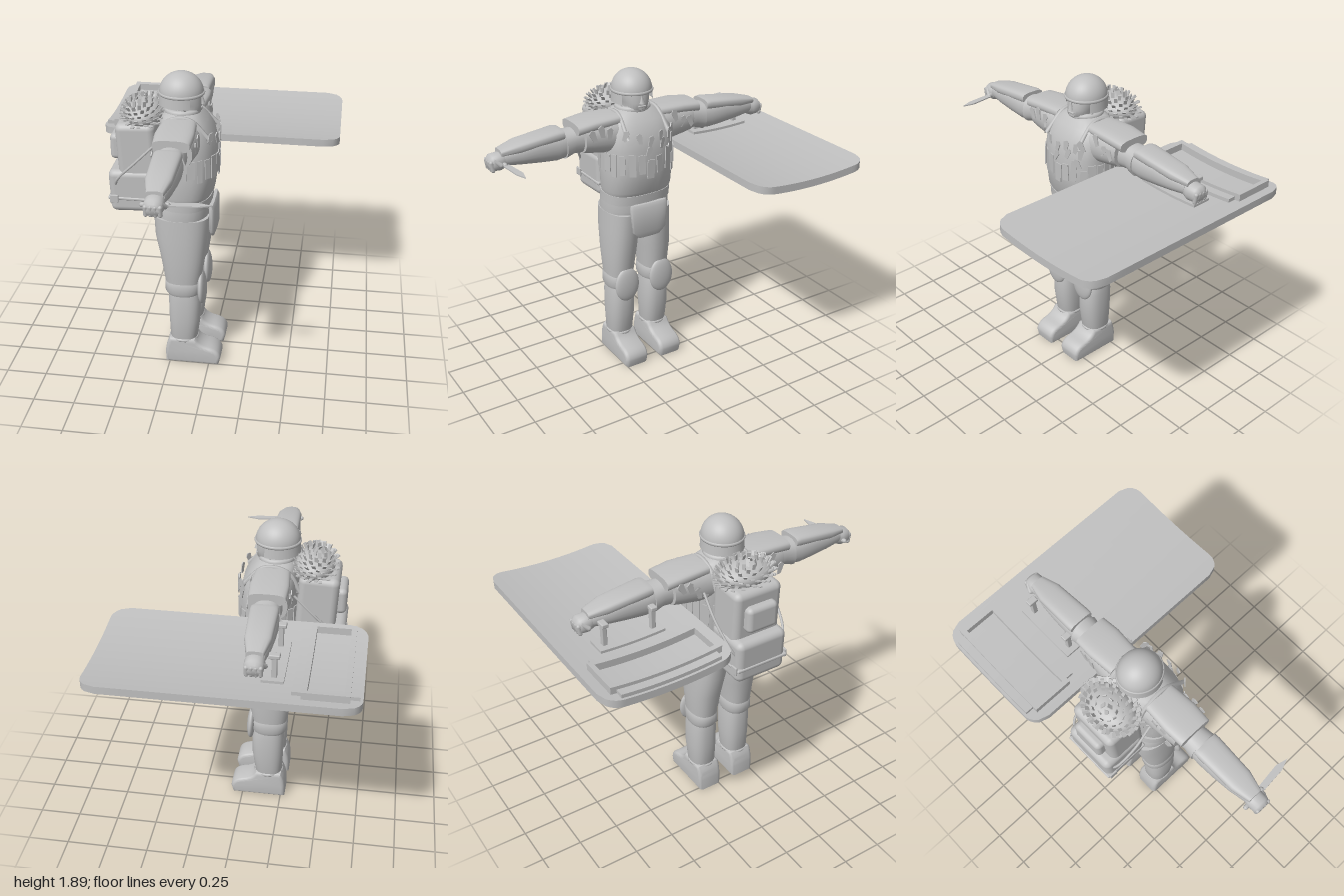
import * as THREE from 'three';
import { toCreasedNormals } from 'three/addons/utils/BufferGeometryUtils.js';
import { RoundedBoxGeometry } from 'three/addons/geometries/RoundedBoxGeometry.js';

const grey = new THREE.MeshStandardMaterial({ color: 0xc0c0c0, side: THREE.DoubleSide });
grey.name = 'plain grey';
const CZ = 0.06; // middle of the figure in z

function add(parent, name, geo, pos = [0, 0, 0], rot = [0, 0, 0], scale = [1, 1, 1]) {
  const m = new THREE.Mesh(geo, grey);
  m.name = name;
  m.position.set(...pos);
  m.rotation.set(...rot);
  m.scale.set(...scale);
  parent.add(m);
  return m;
}
const group = (parent, name) => {
  const g = new THREE.Group();
  g.name = name;
  parent.add(g);
  return g;
};
const rbox = (w, h, d, r = 0.02) => new RoundedBoxGeometry(w, h, d, 3, Math.min(r, w / 2.1, h / 2.1, d / 2.1));

// Lofts superellipse sections [t, cu, cv, ru, rv] along 'y' (u=x, v=z) or 'z' (u=x, v=y); t increases
function loft(axis, rings, n = 2.3, sides = 28) {
  const pos = [], idx = [];
  const put = (u, t, v) => (axis === 'y' ? pos.push(u, t, v) : pos.push(u, v, t));
  const tri = (a, b, c) => (axis === 'y' ? idx.push(a, c, b) : idx.push(a, b, c));
  const pw = (c) => Math.sign(c) * Math.abs(c) ** (2 / n);
  for (const [t, cu, cv, ru, rv] of rings)
    for (let j = 0; j < sides; j++) {
      const a = (j / sides) * Math.PI * 2;
      put(cu + ru * pw(Math.cos(a)), t, cv + rv * pw(Math.sin(a)));
    }
  const last = (rings.length - 1) * sides, c0 = rings.length * sides;
  for (const r of [rings[0], rings[rings.length - 1]]) put(r[1], r[0], r[2]);
  for (let j = 0; j < sides; j++) {
    const k = (j + 1) % sides;
    for (let i = 0; i < last; i += sides) {
      tri(i + j, i + k, i + sides + j);
      tri(i + k, i + sides + k, i + sides + j);
    }
    tri(c0, k, j);
    tri(c0 + 1, last + j, last + k);
  }
  const g = new THREE.BufferGeometry();
  g.setAttribute('position', new THREE.Float32BufferAttribute(pos, 3));
  g.setIndex(idx);
  return toCreasedNormals(g, 0.8);
}

let seed = 7;
const rnd = () => (seed = (seed * 16807) % 2147483647) / 2147483647;
const tube = (pts, r) => new THREE.TubeGeometry(new THREE.CatmullRomCurve3(pts.map((p) => new THREE.Vector3(...p))), 24, r, 6);

function leafGeometry(w, h) {
  const s = new THREE.Shape([[-w / 2, h * 0.35], [w * 0.1, h / 2], [w / 2, h * 0.3], [w * 0.3, -h / 2], [-w * 0.3, -h * 0.4]].map((p) => new THREE.Vector2(...p)));
  return new THREE.ExtrudeGeometry(s, { depth: 0.006, bevelEnabled: false });
}

function buildHead(root) {
  const head = group(root, 'head');
  head.position.set(0, 0, CZ);
  add(head, 'face', loft('y', [[1.6, -0.17, 0, 0.07, 0.075], [1.65, -0.16, 0, 0.075, 0.07], [1.67, -0.145, 0, 0.085, 0.065],
    [1.71, -0.155, 0, 0.095, 0.08], [1.76, -0.165, 0, 0.1, 0.088], [1.82, -0.175, 0, 0.095, 0.088]]));
  add(head, 'nose', new THREE.ConeGeometry(0.018, 0.055, 6), [-0.06, 1.735, 0]);
  add(head, 'brow', rbox(0.03, 0.02, 0.12, 0.009), [-0.075, 1.77, 0]);
  add(head, 'mouth', rbox(0.015, 0.01, 0.05, 0.004), [-0.062, 1.69, 0]);
  // helmet dome, neck guard and brim
  add(head, 'helmet', new THREE.SphereGeometry(0.125, 32, 16, 0, Math.PI * 2, 0, Math.PI / 2), [-0.18, 1.77, 0], [0, 0, 0], [1.03, 0.97, 0.96]);
  add(head, 'helmetGuard', new THREE.CylinderGeometry(0.127, 0.132, 0.07, 28, 1, true, Math.PI * 0.83, Math.PI * 1.34), [-0.18, 1.737, 0], [0, 0, 0], [1, 1, 0.94]);
  add(head, 'helmetBrim', new THREE.TorusGeometry(0.127, 0.007, 6, 32), [-0.18, 1.77, 0], [Math.PI / 2, 0, 0], [1.02, 0.95, 1.4]);
  for (const s of [-1, 1]) add(head, 'chinStrap', tube([[-0.17, 1.72, s * 0.105], [-0.14, 1.68, s * 0.08], [-0.09, 1.655, 0]], 0.006));
}

function buildTorso(root) {
  const torso = group(root, 'torso');
  torso.position.z = CZ;
  add(torso, 'jacket', loft('y', [[1.155, -0.15, 0, 0.15, 0.212], [1.18, -0.145, 0, 0.158, 0.218], [1.3, -0.14, 0, 0.17, 0.222],
    [1.45, -0.14, 0, 0.172, 0.222], [1.55, -0.15, 0, 0.16, 0.22], [1.61, -0.165, 0, 0.135, 0.2], [1.65, -0.175, 0, 0.11, 0.14], [1.675, -0.175, 0, 0.08, 0.085]], 2.5));
  add(torso, 'waist', loft('y', [[1.08, -0.16, 0, 0.15, 0.2], [1.17, -0.155, 0, 0.145, 0.205]], 2.5));
  add(torso, 'belt', loft('y', [[1.095, -0.16, 0, 0.16, 0.216], [1.155, -0.155, 0, 0.16, 0.216]], 2.5));
  add(torso, 'collar', new THREE.TorusGeometry(0.09, 0.02, 8, 24), [-0.175, 1.665, 0], [Math.PI / 2, 0, 0]);
  // ragged camouflage strips around the chest
  const rags = group(torso, 'rags');
  for (let i = 0; i < 54; i++) {
    const low = i < 24;
    const a = low ? (i / 24) * Math.PI * 2 : rnd() * Math.PI * 2;
    const y = low ? 1.33 + rnd() * 0.05 : 1.4 + rnd() * 0.17;
    const c = Math.cos(a), s = Math.sin(a);
    const q = (Math.abs(c) ** 2.5 + Math.abs(s) ** 2.5) ** (-1 / 2.5);
    const geo = low ? new THREE.BoxGeometry(0.03 + rnd() * 0.02, 0.1 + rnd() * 0.06, 0.006) : leafGeometry(0.035, 0.07);
    add(rags, 'rag', geo, [-0.14 + 0.178 * q * c, y, 0.225 * q * s], [0, Math.PI / 2 - a, (rnd() - 0.5) * (low ? 0.15 : 1)]);
  }
}

function buildArm(root, name, angle) {
  const arm = group(root, name);
  arm.position.set(-0.17, 0, CZ);
  arm.rotation.y = angle;
  add(arm, 'shoulderSleeve', loft('z', [[0.1, 0, 1.53, 0.13, 0.11], [0.2, 0, 1.535, 0.125, 0.115], [0.32, 0, 1.54, 0.115, 0.1], [0.37, 0, 1.545, 0.11, 0.095]]));
  add(arm, 'shoulderPlate', loft('z', [[0.14, 0, 1.622, 0.1, 0.035], [0.3, 0, 1.622, 0.112, 0.035], [0.415, 0, 1.608, 0.105, 0.035]], 3));
  add(arm, 'upperArm', loft('z', [[0.34, 0, 1.535, 0.085, 0.085], [0.42, 0, 1.53, 0.08, 0.075], [0.48, 0, 1.52, 0.09, 0.085]]));
  add(arm, 'forearm', loft('z', [[0.46, 0, 1.525, 0.08, 0.08], [0.53, 0, 1.52, 0.083, 0.085], [0.64, 0, 1.525, 0.08, 0.08],
    [0.75, 0, 1.52, 0.07, 0.062], [0.85, 0, 1.515, 0.05, 0.045]]));
  add(arm, 'forearmGuard', loft('z', [[0.49, 0, 1.595, 0.078, 0.03], [0.52, 0, 1.594, 0.08, 0.035], [0.76, 0, 1.567, 0.072, 0.033], [0.87, 0, 1.55, 0.045, 0.02]], 3));
  add(arm, 'hand', loft('z', [[0.83, 0, 1.51, 0.045, 0.045], [0.87, 0, 1.5, 0.055, 0.052], [0.92, 0, 1.5, 0.052, 0.048], [0.938, 0, 1.5, 0.035, 0.03]]));
  for (let i = 0; i < 4; i++) add(arm, 'finger', new THREE.CapsuleGeometry(0.013, 0.045, 4, 8), [-0.037 + i * 0.025, 1.487, 0.926], [0.15, 0, 0]);
  add(arm, 'thumb', new THREE.CapsuleGeometry(0.015, 0.045, 4, 8), [0.045, 1.505, 0.895], [0.9, 0, 0.4]);
  for (let i = 0; i < 8; i++)
    add(arm, 'sleeveRag', leafGeometry(0.04, 0.08), [(i % 2 ? 1 : -1) * (0.115 + rnd() * 0.01), 1.5 + rnd() * 0.1, 0.17 + (i >> 1) * 0.055], [0, Math.PI / 2, rnd() - 0.5]);
}

function buildLegs(root) {
  add(root, 'hips', loft('y', [[0.89, -0.175, CZ, 0.1, 0.12], [0.95, -0.175, CZ, 0.155, 0.205], [1.05, -0.17, CZ, 0.165, 0.214], [1.11, -0.16, CZ, 0.155, 0.21]], 2.5));
  add(root, 'groinFlap', loft('y', [[0.88, 0.008, CZ, 0.012, 0.075], [0.92, 0.01, CZ, 0.023, 0.115], [1.08, 0.008, CZ, 0.022, 0.13], [1.1, 0.005, CZ, 0.012, 0.125]], 3));
  // boot side outline
  const boot = new THREE.Shape();
  boot.moveTo(-0.255, 0.022);
  boot.lineTo(-0.255, 0.08);
  boot.quadraticCurveTo(-0.25, 0.13, -0.235, 0.16);
  boot.lineTo(-0.1, 0.16);
  boot.quadraticCurveTo(-0.07, 0.11, 0, 0.098);
  boot.quadraticCurveTo(0.05, 0.085, 0.052, 0.05);
  boot.lineTo(0.045, 0.022);
  const bootGeo = toCreasedNormals(new THREE.ExtrudeGeometry(boot, { depth: 0.11, bevelThickness: 0.025, bevelSize: 0.022, bevelSegments: 4, curveSegments: 8 }), 0.8);
  for (const s of [-1, 1]) {
    const leg = group(root, s > 0 ? 'rightLeg' : 'leftLeg');
    leg.position.z = CZ + s * 0.125;
    add(leg, 'trousers', loft('y', [[0.5, -0.165, 0, 0.095, 0.078], [0.62, -0.165, 0, 0.115, 0.088], [0.75, -0.165, s * -0.004, 0.135, 0.1],
      [0.9, -0.173, s * -0.014, 0.158, 0.107], [1.03, -0.172, s * -0.016, 0.165, 0.105]]));
    add(leg, 'kneeStrap', loft('y', [[0.5, -0.165, 0, 0.1, 0.082], [0.52, -0.165, 0, 0.112, 0.09], [0.58, -0.165, 0, 0.112, 0.09], [0.6, -0.165, 0, 0.1, 0.082]]));
    add(leg, 'shin', loft('y', [[0.14, -0.165, 0, 0.075, 0.07], [0.17, -0.165, 0, 0.085, 0.077], [0.32, -0.157, 0, 0.098, 0.086], [0.46, -0.157, 0, 0.1, 0.086], [0.51, -0.16, 0, 0.09, 0.08]], 2.5));
    add(leg, 'kneePad', new THREE.SphereGeometry(1, 24, 16), [-0.05, 0.54, 0], [0, 0, 0.04], [0.027, 0.113, 0.084]);
    add(leg, 'boot', bootGeo, [0, 0, -0.055]);
    add(leg, 'ankleCuff', new THREE.TorusGeometry(0.078, 0.012, 8, 24), [-0.165, 0.17, 0], [Math.PI / 2, 0, 0], [1.05, 0.95, 1]);
  }
}

function buildPack(root) {
  const pack = group(root, 'backpack');
  pack.position.z = CZ;
  add(pack, 'packBody', rbox(0.235, 0.44, 0.31, 0.04), [-0.425, 1.39, 0], [0, 0, 0.05]);
  add(pack, 'packBase', rbox(0.285, 0.27, 0.33, 0.04), [-0.455, 1.185, 0], [0, 0, 0.04]);
  add(pack, 'upperPocket', rbox(0.08, 0.16, 0.2, 0.03), [-0.555, 1.44, 0]);
  add(pack, 'baseStrap', rbox(0.292, 0.02, 0.34, 0.008), [-0.457, 1.14, 0]);
  for (const s of [-1, 1]) {
    add(pack, 'buckle', rbox(0.05, 0.05, 0.012, 0.004), [-0.565, 1.14, s * 0.172]);
    add(pack, 'packStrap', tube([[-0.56, 1.2, s * 0.14], [-0.54, 1.27, s * 0.18], [-0.42, 1.4, s * 0.205], [-0.3, 1.52, s * 0.2]], 0.008));
    add(pack, 'shoulderStrap', tube([[-0.33, 1.5, s * 0.13], [-0.25, 1.63, s * 0.13], [-0.12, 1.65, s * 0.13], [0.01, 1.53, s * 0.14]], 0.014));
  }
  // net bundle covered in small tabs
  const net = group(pack, 'netBundle');
  net.position.set(-0.4, 1.635, 0);
  add(net, 'bundle', new THREE.SphereGeometry(1, 24, 16), [0, 0, 0], [0, 0, 0], [0.115, 0.075, 0.165]);
  for (let i = 0; i < 120; i++) {
    const h = 1 - ((i + 0.5) / 120) * 1.5, a = i * 2.4, r = Math.sqrt(1 - h * h);
    const d = new THREE.Vector3(r * Math.cos(a), h, r * Math.sin(a));
    const tab = add(net, 'tab', new THREE.BoxGeometry(0.02, 0.045, 0.006), [d.x * 0.122, d.y * 0.085, d.z * 0.175]);
    tab.lookAt(d.x * 2, d.y * 2 + 0.7, d.z * 2);
    tab.rotateX(0.7);
  }
}

// Flat slab that sags along z like the shield; corner > 0 rounds its corners
function slab(w, t, l, z0 = 0, corner = 0) {
  const g = new THREE.BoxGeometry(w, t, l, 8, 1, 40);
  const p = g.attributes.position;
  for (let i = 0; i < p.count; i++) {
    const z = p.getZ(i), d = corner ? Math.max(0, (Math.abs(z) - l / 2 + corner) / corner) : 0;
    p.setX(i, p.getX(i) * (1 - (2 * corner * (1 - Math.sqrt(Math.max(0, 1 - d * d)))) / w));
    p.setY(i, p.getY(i) + 0.03 * ((z + z0) / 0.395) ** 2);
  }
  return toCreasedNormals(g, 0.6);
}

function buildShield(root) {
  const shield = group(root, 'shield');
  shield.position.set(0, 1.348, -0.605);
  add(shield, 'shieldBoard', slab(1.47, 0.045, 0.79, 0, 0.1));
  // viewing window frames, above and below
  for (const [y, t] of [[0.042, 0.045], [-0.03, 0.02]]) {
    for (const x of [-0.655, -0.435]) add(shield, 'windowSideBar', slab(0.03, t, 0.67), [x, y, 0]);
    for (const z of [-0.32, 0.32]) add(shield, 'windowEndBar', slab(0.25, t, 0.03, z), [-0.545, y, z]);
  }
  for (const x of [-0.695, -0.395]) add(shield, 'windowFlange', slab(0.05, 0.025, 0.6), [x, 0.032, 0]);
  // grip mount and posts
  add(shield, 'gripPlate', slab(0.12, 0.02, 0.4), [-0.26, 0.028, 0]);
  for (const z of [-0.15, 0.15]) {
    add(shield, 'gripPost', rbox(0.03, 0.14, 0.03, 0.005), [-0.265, 0.1, z]);
    add(shield, 'gripCap', rbox(0.06, 0.025, 0.04, 0.006), [-0.265, 0.17, z]);
  }
  // box under the board
  for (const x of [-0.335, -0.215]) add(shield, 'lampSide', rbox(0.025, 0.05, 0.3, 0.01), [x, -0.04, 0]);
  for (const z of [-0.14, 0.14]) add(shield, 'lampEnd', rbox(0.14, 0.05, 0.025, 0.01), [-0.275, -0.04, z]);
  add(shield, 'lampLens', rbox(0.06, 0.03, 0.18, 0.01), [-0.275, -0.035, 0]);
}

function buildKnife(root) {
  const knife = group(root, 'knife');
  knife.position.set(-0.17, 1.492, 0.925);
  knife.rotation.y = 0.09;
  add(knife, 'knifeHandle', new THREE.CapsuleGeometry(0.014, 0.13, 4, 10), [0, 0, 0], [0, 0, Math.PI / 2]);
  const s = new THREE.Shape([[0.07, -0.02], [0.22, -0.024], [0.29, 0], [0.22, 0.018], [0.07, 0.016]].map((p) => new THREE.Vector2(...p)));
  add(knife, 'knifeBlade', new THREE.ExtrudeGeometry(s, { depth: 0.007, bevelEnabled: false }), [0, 0.003, 0], [Math.PI / 2, 0, 0]);
}

export function createModel() {
  const root = new THREE.Group();
  root.name = 'shieldSoldier';
  buildHead(root);
  buildTorso(root);
  buildArm(root, 'rightArm', 0);
  buildArm(root, 'leftArm', Math.PI);
  buildLegs(root);
  buildPack(root);
  buildShield(root);
  buildKnife(root);
  return root;
}
